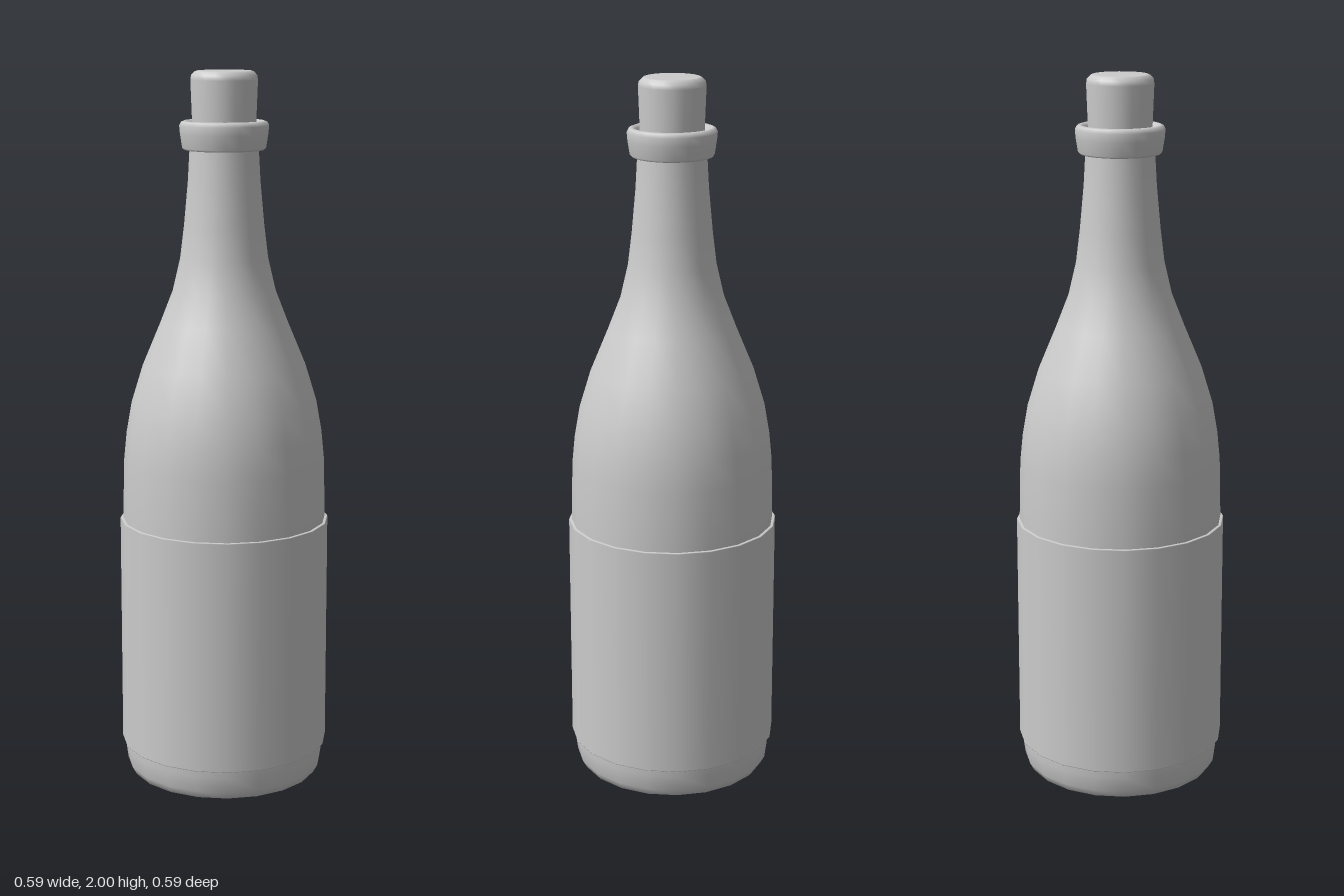
import * as THREE from 'three';

const SIDES = 20;

export function createModel() {
  const bottle = new THREE.Group();
  bottle.name = 'bottle';
  const material = new THREE.MeshStandardMaterial({ color: 0xcccccc, side: THREE.DoubleSide });

  // Turns a [radius, height] profile, listed from the bottom up, around the y axis.
  const turn = (name, profile) => {
    const points = profile.map(([r, y]) => new THREE.Vector2(r, y));
    const mesh = new THREE.Mesh(new THREE.LatheGeometry(points, SIDES), material);
    mesh.name = name;
    bottle.add(mesh);
  };

  // Hollowed base, straight body, sloping shoulder and slim neck
  turn('glassBody', [
    [0, 0.06], [0.1, 0.052], [0.19, 0.03], [0.235, 0.006], [0.25, 0], [0.268, 0.003],
    [0.28, 0.025], [0.286, 0.07], [0.287, 0.12], [0.287, 0.76], [0.283, 0.92],
    [0.275, 1.0], [0.26, 1.085], [0.228, 1.19], [0.178, 1.31], [0.143, 1.4],
    [0.122, 1.49], [0.111, 1.58], [0.1, 1.7], [0.095, 1.79],
  ]);

  // Raised lip around the mouth
  turn('lip', [
    [0.09, 1.785], [0.11, 1.787], [0.115, 1.792], [0.121, 1.83], [0.123, 1.853],
    [0.118, 1.863], [0.109, 1.866], [0.099, 1.859], [0.093, 1.845], [0.086, 1.83],
  ]);

  // Label sleeve wrapped around the body, with thin rims
  turn('label', [
    [0.285, 0.09], [0.294, 0.09], [0.295, 0.092], [0.295, 0.748], [0.294, 0.75], [0.285, 0.75],
  ]);

  // Cork with a softly bevelled top
  turn('cork', [
    [0.086, 1.8], [0.088, 1.87], [0.092, 1.975], [0.09, 1.988], [0.08, 1.998],
    [0.074, 2], [0, 2],
  ]);

  return bottle;
}
